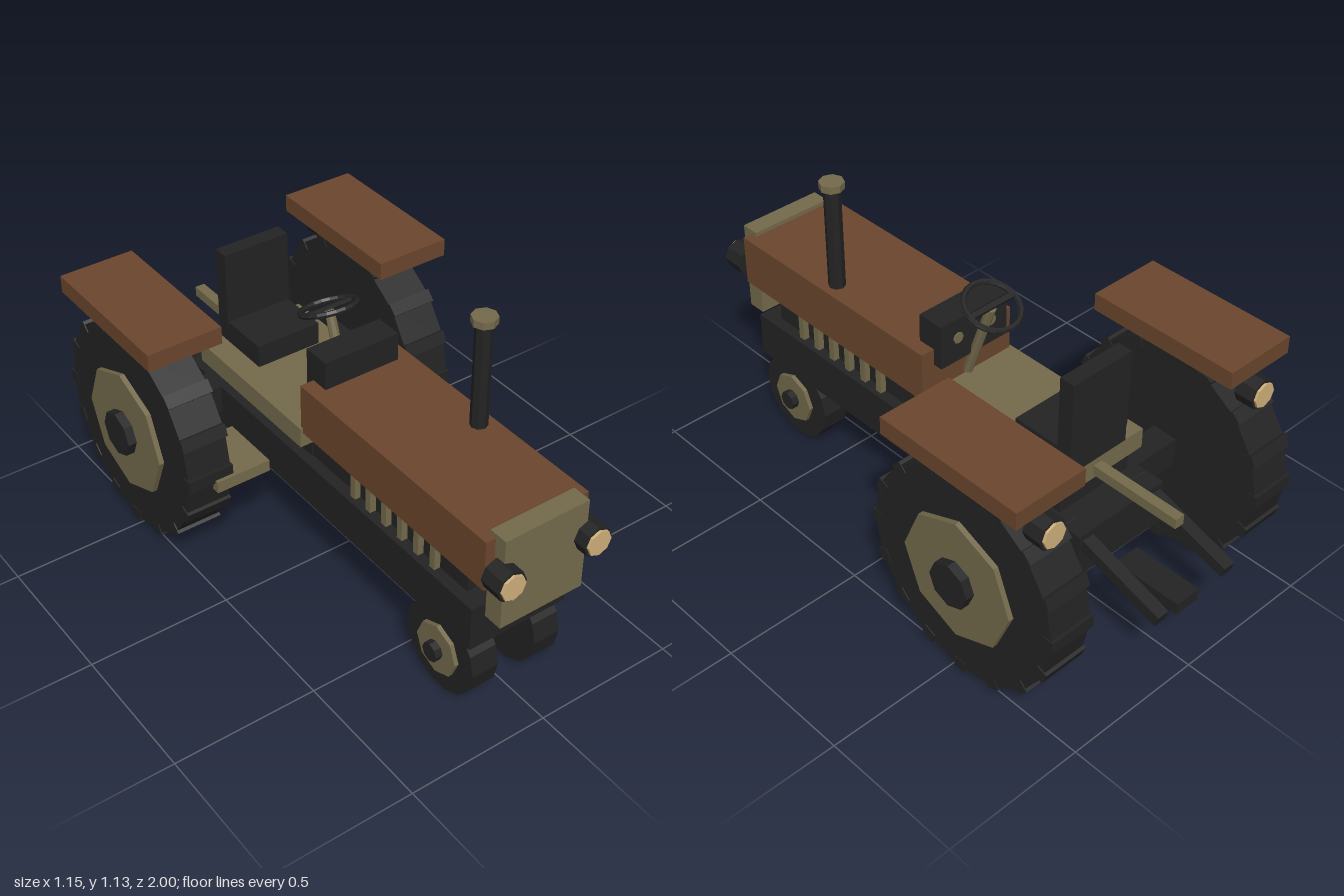
import * as THREE from 'three';

const flat = (name, color) => {
  const m = new THREE.MeshStandardMaterial({ color });
  m.name = name;
  m.flatShading = true;
  return m;
};

export function createModel() {
  const dark = flat('black', 0x232323);
  const brown = flat('rust brown', 0x6b462d);
  const tan = flat('khaki', 0x746a4c);
  const glass = flat('lamp glass', 0xd0b07b);
  const model = new THREE.Group();
  model.name = 'tractor';

  const add = (name, geometry, material, parent = model) => {
    const mesh = new THREE.Mesh(geometry, material);
    mesh.name = name;
    parent.add(mesh);
    return mesh;
  };
  // box given by its extents on each axis
  const box = (name, mat, [x0, x1], [y0, y1], [z0, z1], parent = model) => {
    const m = add(name, new THREE.BoxGeometry(x1 - x0, y1 - y0, z1 - z0), mat, parent);
    m.position.set((x0 + x1) / 2, (y0 + y1) / 2, (z0 + z1) / 2);
    return m;
  };
  // cylinder centred on p, lying along the given axis
  const cyl = (name, mat, r, len, sides, axis, p, parent = model) => {
    const g = new THREE.CylinderGeometry(r, r, len, sides);
    if (axis === 'x') g.rotateZ(Math.PI / 2);
    if (axis === 'z') g.rotateX(Math.PI / 2);
    const m = add(name, g, mat, parent);
    m.position.set(...p);
    return m;
  };

  // body
  box('chassis', dark, [-0.185, 0.185], [0.282, 0.443], [-0.69, 0.855]);
  box('engineBlock', dark, [-0.145, 0.145], [0.443, 0.56], [0, 0.785]);
  box('hood', brown, [-0.19, 0.19], [0.56, 0.74], [0, 0.905]);
  box('grille', tan, [-0.155, 0.155], [0.425, 0.755], [0.88, 0.947]);
  box('transmission', tan, [-0.2, 0.2], [0.507, 0.58], [-0.58, 0.01]);
  box('gearHousing', dark, [-0.15, 0.15], [0.443, 0.507], [-0.57, 0]);
  box('dashboard', dark, [-0.14, 0.14], [0.68, 0.84], [-0.035, 0.065]);

  // exhaust
  cyl('exhaustPipe', dark, 0.029, 0.38, 8, 'y', [0.135, 0.92, 0.475]);
  cyl('exhaustCap', tan, 0.042, 0.025, 8, 'y', [0.135, 1.122, 0.475]);

  // seat
  box('seatCushion', dark, [-0.12, 0.12], [0.58, 0.66], [-0.58, -0.345]);
  box('seatBack', dark, [-0.123, 0.123], [0.64, 0.92], [-0.58, -0.525]);

  // steering column and wheel
  const column = cyl('steeringColumn', tan, 0.017, 0.31, 8, 'y', [0, 0.74, -0.058]);
  column.rotation.x = -0.34;
  const steering = new THREE.Group();
  steering.name = 'steeringWheel';
  steering.position.set(0, 0.897, -0.114);
  steering.rotation.x = -Math.PI / 2 + 0.41 - 0.82 + 0.82;
  steering.rotation.x = -Math.PI / 2 - 0.41 + Math.PI;
  model.add(steering);
  add('steeringRim', new THREE.TorusGeometry(0.093, 0.01, 6, 20), dark, steering);
  box('steeringSpoke', dark, [-0.09, 0.09], [-0.009, 0.009], [-0.006, 0.006], steering);
  steering.rotation.x = Math.PI / 2 - 0.41;

  // axles and hitch
  box('rearAxle', dark, [-0.37, 0.37], [0.34, 0.443], [-0.583, -0.488]);
  cyl('frontAxle', dark, 0.034, 0.42, 8, 'x', [0, 0.162, 0.7]);
  box('frontAxleBeam', dark, [-0.08, 0.08], [0.128, 0.198], [0.665, 0.735]);
  box('drawbar', dark, [-0.048, 0.048], [0.235, 0.275], [-0.97, -0.72]);
  box('topLink', tan, [-0.018, 0.018], [0.522, 0.558], [-0.91, -0.54]);

  for (const s of [-1, 1]) {
    const side = s > 0 ? 'left' : 'right';
    // engine ribs
    for (let i = 0; i < 6; i++) {
      const z = 0.245 + i * 0.08;
      box(side + 'EngineRib', tan, [s * 0.155 - 0.012, s * 0.155 + 0.012], [0.443, 0.56], [z - 0.012, z + 0.012]);
    }
    // dashboard gauge
    cyl(side + 'Gauge', tan, 0.02, 0.006, 8, 'z', [s * 0.07, 0.77, -0.037]);

    // headlamp and work lamp
    cyl(side + 'Headlamp', dark, 0.053, 0.075, 8, 'z', [s * 0.16, 0.625, 0.9535]);
    cyl(side + 'HeadlampLens', glass, 0.044, 0.009, 8, 'z', [s * 0.16, 0.625, 0.9955]);
    cyl(side + 'RearLamp', dark, 0.053, 0.068, 8, 'z', [s * 0.45, 0.722, -0.794]);
    cyl(side + 'RearLampLens', glass, 0.043, 0.009, 8, 'z', [s * 0.45, 0.722, -0.832]);

    // fender, step and lower link
    const span = (a, b) => (s > 0 ? [a, b] : [-b, -a]);
    box(side + 'Fender', brown, span(0.31, 0.577), [0.805, 0.867], [-0.81, -0.255]);
    box(side + 'Step', tan, span(0.23, 0.43), [0.335, 0.378], [-0.355, -0.13]);
    const link = add(side + 'LowerLink', new THREE.BoxGeometry(0.045, 0.042, 0.4), dark);
    link.position.set(s * 0.149, 0.365, -0.803);
    link.rotation.x = -0.3;

    // rear wheel with tread lugs
    const rear = new THREE.Group();
    rear.name = side + 'RearWheel';
    rear.position.set(s * 0.444, 0.39, -0.53);
    model.add(rear);
    cyl('rearTyre', dark, 0.38, 0.158, 16, 'x', [0, 0, 0], rear);
    for (let i = 0; i < 16; i++) {
      const a = (i / 16) * Math.PI * 2;
      const lug = add('treadLug', new THREE.BoxGeometry(0.165, 0.04, 0.045), dark, rear);
      lug.position.set(0, Math.cos(a) * 0.367, Math.sin(a) * 0.367);
      lug.rotation.x = a;
    }
    cyl('rearRim', tan, 0.225, 0.03, 8, 'x', [s * 0.082, 0, 0], rear);
    cyl('rearHub', dark, 0.08, 0.06, 8, 'x', [s * 0.098, 0, 0], rear);

    // front wheel
    const front = new THREE.Group();
    front.name = side + 'FrontWheel';
    front.position.set(s * 0.121, 0.162, 0.7);
    model.add(front);
    cyl('frontTyre', dark, 0.16, 0.098, 14, 'x', [0, 0, 0], front);
    cyl('frontRim', tan, 0.093, 0.03, 8, 'x', [s * 0.049, 0, 0], front);
  }
  return model;
}
